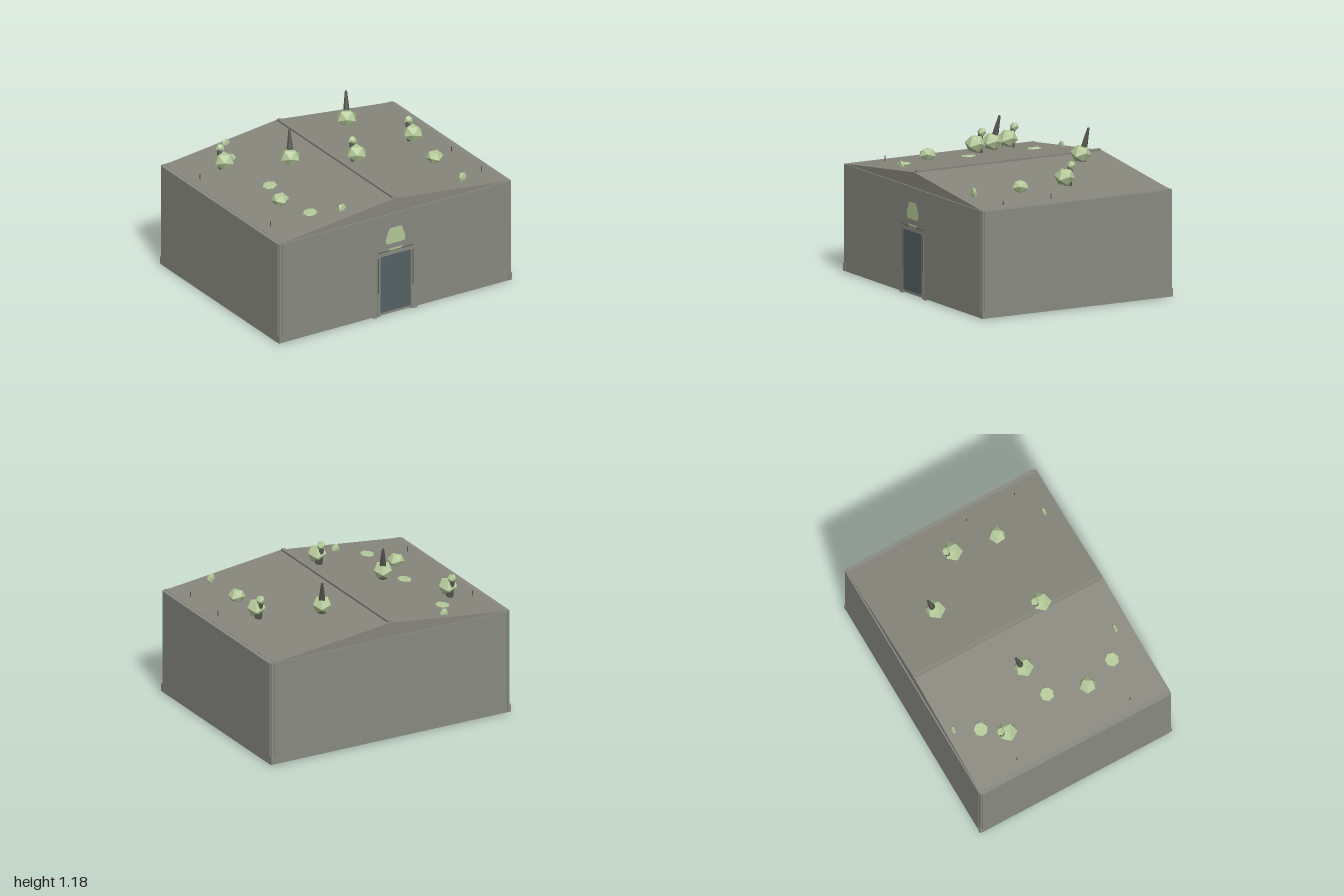
import * as THREE from 'three';

const mat = (name, color, extra = {}) => Object.assign(new THREE.MeshStandardMaterial({ color, flatShading: true, ...extra }), { name });

export function createModel() {
  const model = new THREE.Group();
  model.name = 'gabledHall';
  const wall = mat('wall grey', 0x8a8a83);
  const roofMat = mat('roof grey', 0x87877d);
  const leaf = mat('pale green', 0xb5c99a);
  const leafPlate = mat('pale green plate', 0xb5c99a, { side: THREE.DoubleSide });
  const bark = mat('dark bark', 0x55554f);
  const doorMat = mat('slate door', 0x566164);

  const add = (name, geo, material, x = 0, y = 0, z = 0, parent = model) => {
    const m = new THREE.Mesh(geo, material);
    m.name = name;
    m.position.set(x, y, z);
    parent.add(m);
    return m;
  };
  // box given by its limits
  const box = (name, material, x0, x1, y0, y1, z0, z1) =>
    add(name, new THREE.BoxGeometry(x1 - x0, y1 - y0, z1 - z0), material, (x0 + x1) / 2, (y0 + y1) / 2, (z0 + z1) / 2);

  // Body with notched corners
  box('hallBody', wall, -0.97, 0.97, 0.01, 0.8, -0.795, 0.795);
  box('sideWalls', wall, -1, 1, 0.01, 0.798, -0.775, 0.775);
  for (const sx of [-1, 1]) for (const sz of [-1, 1]) {
    add('cornerPost', new THREE.BoxGeometry(0.02, 0.79, 0.02), wall, sx * 0.982, 0.405, sz * 0.782);
    add('postFoot', new THREE.BoxGeometry(0.026, 0.06, 0.026), wall, sx * 0.985, 0.04, sz * 0.785);
  }

  // Gable roof and ridge beam
  const gable = new THREE.Shape([[-0.97, 0.8], [0.97, 0.8], [0, 0.912]].map(p => new THREE.Vector2(...p)));
  add('gableRoof', new THREE.ExtrudeGeometry(gable, { depth: 1.57, bevelEnabled: false }), roofMat, 0, 0, -0.785);
  box('ridgeBeam', roofMat, -0.014, 0.014, 0.9, 0.926, -0.77, 0.77);

  // Door, frame and threshold
  box('door', doorMat, -0.13, 0.13, 0.03, 0.475, 0.79, 0.798);
  box('doorLintel', bark, -0.15, 0.15, 0.507, 0.512, 0.79, 0.799);
  for (const s of [-1, 1]) {
    add('doorJamb', new THREE.BoxGeometry(0.022, 0.47, 0.009), wall, s * 0.142, 0.24, 0.795);
    add('jambGap', new THREE.BoxGeometry(0.006, 0.28, 0.009), bark, s * 0.148, 0.335, 0.7955);
    add('threshold', new THREE.BoxGeometry(0.03, 0.012, 0.02), wall, s * 0.17, 0.006, 0.79);
  }

  // Crest above the door
  const crest = (name, pts) => add(name, new THREE.ShapeGeometry(new THREE.Shape(pts.map(p => new THREE.Vector2(...p)))), leafPlate, 0, 0, 0.798);
  crest('crestTop', [[-0.05, 0.69], [-0.085, 0.605], [-0.075, 0.565], [0.075, 0.565], [0.085, 0.605], [0.05, 0.69]]);
  crest('crestBottom', [[-0.065, 0.527], [-0.04, 0.503], [0.04, 0.503], [0.065, 0.527]]);

  // Faceted blob resting on one face
  const blob = (name, r, x, y, z, squash, turn = 0, parent = model) => {
    const g = new THREE.IcosahedronGeometry(r, 0).rotateX(-0.365).rotateY(turn).scale(...squash);
    return add(name, g, leaf, x, y, z, parent);
  };
  // Tapered stem between two points
  const stem = (name, a, b, r0, r1, parent) => {
    const d = b.clone().sub(a);
    const m = add(name, new THREE.CylinderGeometry(r1, r0, d.length(), 7), bark, 0, 0, 0, parent);
    m.position.copy(a).addScaledVector(d, 0.5);
    m.quaternion.setFromUnitVectors(new THREE.Vector3(0, 1, 0), d.normalize());
  };
  const cluster = (name, x, y, z) => {
    const g = new THREE.Group();
    g.name = name;
    g.position.set(x, y, z);
    model.add(g);
    blob('foliage', 0.077, 0, 0, 0, [1, 0.88, 1], Math.PI / 6, g);
    return g;
  };

  // Clusters with a small upper blob
  for (const [x, y, z] of [[-0.7, 0.915, -0.405], [0.7, 0.915, -0.065], [0, 1.07, 0.275]]) {
    const g = cluster('doubleShrub', x, y, z);
    stem('trunk', new THREE.Vector3(0, -0.068, -0.025), new THREE.Vector3(-0.012, 0.085, -0.055), 0.03, 0.016, g);
    blob('upperFoliage', 0.036, 0, 0.08, -0.056, [1, 0.95, 0.9], Math.PI / 6, g);
  }
  // Clusters with a tall spike
  for (const [x, z] of [[-0.35, -0.07], [0.35, -0.405]]) {
    const g = cluster('spikedShrub', x, 0.99, z);
    stem('spike', new THREE.Vector3(0, -0.055, 0), new THREE.Vector3(0.026, 0.19, -0.049), 0.036, 0.008, g);
  }

  // Low round shrubs
  for (const s of [-1, 1]) blob('lowShrub', 0.066, s * 0.663, 0.875, 0.285, [1, 0.75, 1]);

  // Flat moss patches lying on the slope
  for (const z of [-0.55, 0, 0.54]) {
    const m = add('mossPatch', new THREE.CylinderGeometry(0.05, 0.056, 0.01, 7), leaf, -0.57, 0.849, z);
    m.rotation.z = 0.115;
  }
  // Narrow upright leaves
  for (const [x, y, z] of [[-0.48, 0.865, -0.73], [-0.38, 0.88, 0.67], [0.657, 0.865, 0.67]])
    blob('uprightLeaf', 0.038, x, y, z, [0.95, 1.15, 0.4]);
  // Small pins near the eaves
  for (const [x, z] of [[-0.89, -0.43], [-0.89, 0.51], [0.89, 0.16], [0.89, 0.56]])
    add('roofPin', new THREE.CylinderGeometry(0.003, 0.005, 0.045, 5), bark, x, 0.825, z);

  return model;
}
